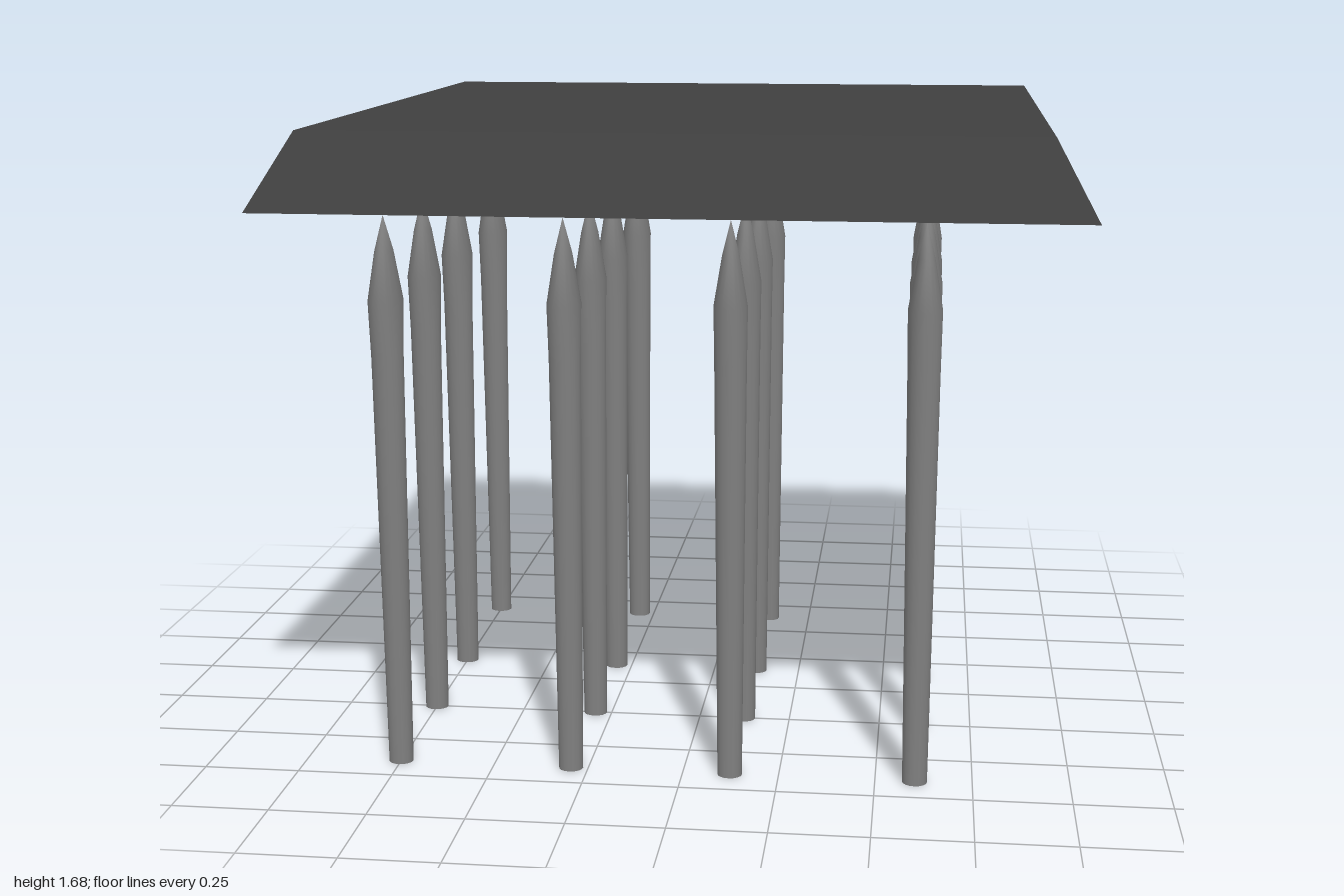
import * as THREE from 'three';
import { mergeVertices } from 'three/addons/utils/BufferGeometryUtils.js';

// Spear cross-sections, bottom to tip: [height, half width in x, half width in z]
const SPEAR_RINGS = [
  [0, 0.032, 0.029],
  [1.09, 0.041, 0.041],
  [1.235, 0.043, 0.065],
  [1.36, 0.022, 0.043],
  [1.45, 0, 0],
];
const SPEAR_X = [-0.75, -0.295, 0.123, 0.602];
const SPEAR_Z = [0.65, 0.25, -0.14, -0.63];

// Shaft and leaf-shaped head as one smooth skin through the rings
function spearSkin() {
  const rows = SPEAR_RINGS.length - 1;
  const geo = new THREE.CylinderGeometry(1, 1, rows, 16, rows, true);
  const pos = geo.attributes.position;
  for (let i = 0; i < pos.count; i++) {
    const [y, rx, rz] = SPEAR_RINGS[Math.round(pos.getY(i) + rows / 2)];
    pos.setXYZ(i, pos.getX(i) * rx, y, pos.getZ(i) * rz);
  }
  geo.deleteAttribute('uv');
  geo.deleteAttribute('normal');
  const skin = mergeVertices(geo, 1e-5);
  skin.computeVertexNormals();
  return skin;
}

// Hollow slab with sloping sides, open underneath
function slabShell() {
  const geo = new THREE.BoxGeometry(1.98, 0.185, 2);
  const pos = geo.attributes.position;
  for (let i = 0; i < pos.count; i++) {
    if (pos.getY(i) > 0) {
      pos.setX(i, Math.sign(pos.getX(i)) * 0.89);
      pos.setZ(i, Math.sign(pos.getZ(i)) * 0.9);
    }
  }
  const index = Array.from(geo.index.array);
  index.splice(18, 6); // drop the bottom face
  geo.setIndex(index);
  geo.clearGroups();
  geo.computeVertexNormals();
  return geo;
}

export function createModel() {
  const model = new THREE.Group();
  model.name = 'spearTrap';

  const darkStone = new THREE.MeshStandardMaterial({ color: 0x404040, side: THREE.DoubleSide });
  darkStone.name = 'dark stone';
  const greyMetal = new THREE.MeshStandardMaterial({ color: 0x808080 });
  greyMetal.name = 'grey metal';

  // Floating slab
  const slab = new THREE.Mesh(slabShell(), darkStone);
  slab.name = 'slab';
  slab.position.y = 1.5875;
  model.add(slab);

  // Grid of spears
  const skin = spearSkin();
  const capGeo = new THREE.CircleGeometry(1, 16).rotateX(Math.PI / 2);
  capGeo.scale(SPEAR_RINGS[0][1], 1, SPEAR_RINGS[0][2]);
  for (const x of SPEAR_X) {
    for (const z of SPEAR_Z) {
      const spear = new THREE.Group();
      spear.name = 'spear';
      const body = new THREE.Mesh(skin, greyMetal);
      body.name = 'spearBody';
      const cap = new THREE.Mesh(capGeo, greyMetal);
      cap.name = 'spearBase';
      spear.add(body, cap);
      spear.position.set(x, 0, z);
      model.add(spear);
    }
  }
  return model;
}
